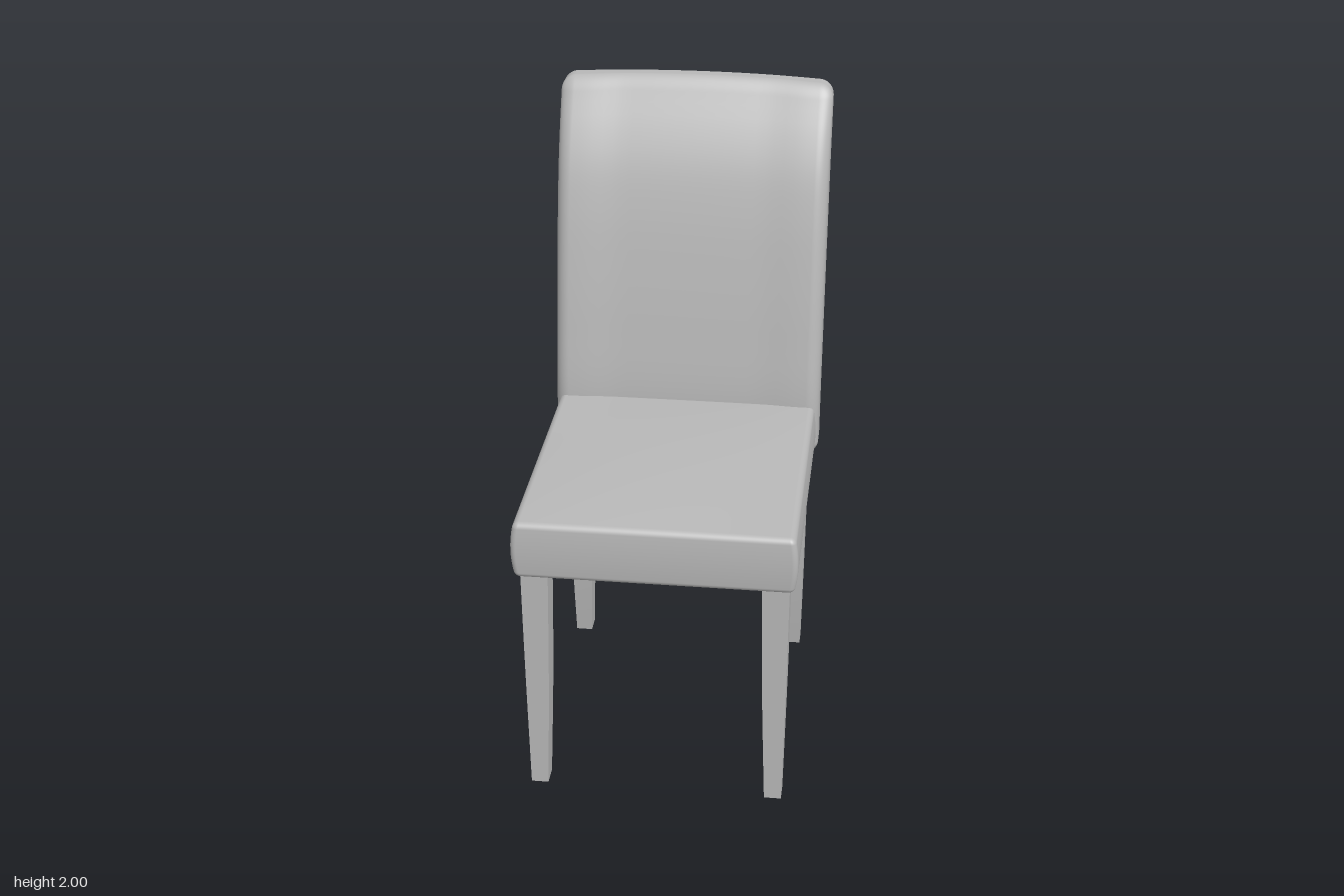
import * as THREE from 'three';
import { mergeVertices } from 'three/addons/utils/BufferGeometryUtils.js';

// Smooth curve through [position, value] pairs
function curve(points) {
  const c = new THREE.CubicInterpolant(points.map(p => p[0]), points.map(p => p[1]), 1);
  return t => c.evaluate(t)[0];
}

// Box with rounded edges and dense faces, bent by a rule
function cushion(size, radius, segments, bend) {
  const corner = 5;
  const geo = new THREE.BoxGeometry(1, 1, 1, ...segments.map(n => n + 2 * corner));
  const pos = geo.attributes.position;
  const p = new THREE.Vector3(), inner = new THREE.Vector3();
  for (let i = 0; i < pos.count; i++) {
    p.fromBufferAttribute(pos, i);
    // Pack the outer grid lines into the rounded edges
    ['x', 'y', 'z'].forEach((axis, k) => {
      const n = segments[k], flat = size[k] / 2 - radius;
      const step = p[axis] * (n + 2 * corner), a = Math.abs(step);
      const v = a <= n / 2 ? a / (n / 2) * flat
        : flat + radius * Math.tan((a - n / 2) / corner * Math.PI / 4);
      p[axis] = Math.sign(step) * v;
      inner[axis] = Math.sign(step) * Math.min(v, flat);
    });
    p.sub(inner).setLength(radius).add(inner);
    bend(p);
    pos.setXYZ(i, p.x, p.y, p.z);
  }
  geo.deleteAttribute('normal');
  geo.deleteAttribute('uv');
  const smooth = mergeVertices(geo, 1e-5);
  smooth.computeVertexNormals();
  return smooth;
}

// Square leg whose four sides follow curves of height
function leg(side, zFront, zBack) {
  const height = 0.79;
  const outer = curve([[0, 0.4], [0.4, 0.406], [0.79, 0.41]]);
  const inner = curve([[0, 0.346], [0.4, 0.333], [0.79, 0.325]]);
  const geo = new THREE.BoxGeometry(1, 1, 1, 1, 10, 1);
  const pos = geo.attributes.position;
  for (let i = 0; i < pos.count; i++) {
    const y = (pos.getY(i) + 0.5) * height;
    const x = side * (outer(y) + inner(y)) / 2 + pos.getX(i) * (outer(y) - inner(y));
    const z = THREE.MathUtils.lerp(zBack(y), zFront(y), pos.getZ(i) + 0.5);
    pos.setXYZ(i, x, y, z);
  }
  geo.computeVertexNormals();
  return geo;
}

export function createModel() {
  const chair = new THREE.Group();
  chair.name = 'diningChair';
  const grey = new THREE.MeshStandardMaterial({ color: 0xb8b8b8 });
  grey.name = 'grey';
  const add = (name, geo) => {
    const mesh = new THREE.Mesh(geo, grey);
    mesh.name = name;
    chair.add(mesh);
  };

  // Seat cushion: crowned top, gently bulging sides
  add('seat', cushion([0.868, 0.188, 0.905], 0.018, [16, 8, 16], p => {
    const u = p.x / 0.434, v = p.y / 0.094, w = p.z / 0.4525;
    const crown = 0.018 * (1 - u * u) * (1 - w * w) * Math.max(0, v);
    p.x *= 1 - 0.025 * v * v;
    p.z -= 0.006 * v * v * Math.max(0, w);
    p.y += 0.87 + crown;
    p.z += 0.1625;
  }));

  // Backrest: leaning, curved, thinner towards the top
  const front = curve([[0.78, -0.272], [0.97, -0.268], [1.2, -0.297], [1.4, -0.33],
    [1.6, -0.37], [1.75, -0.412], [1.86, -0.46], [1.95, -0.51], [2, -0.535]]);
  const back = curve([[0.78, -0.408], [0.95, -0.419], [1.2, -0.457], [1.6, -0.535], [1.9, -0.601], [2, -0.622]]);
  add('backrest', cushion([0.884, 1.22, 0.16], 0.045, [24, 32, 6], p => {
    const u = p.x / 0.442, t = p.z / 0.16 + 0.5;
    const y = p.y + 1.39;
    // Middle of the front face sits slightly behind the side bolsters
    const recess = 0.009 * (1 - THREE.MathUtils.smoothstep(Math.abs(u), 0.5, 0.85));
    p.z = THREE.MathUtils.lerp(back(y), front(y) - recess, t);
    // Top edge drops a little towards the corners
    p.y = y - 0.014 * u * u * Math.max(0, (y - 1.4) / 0.6);
  }));

  // Legs: straight tapered front pair, rear pair sweeping backwards
  const frontLeg = [
    curve([[0, 0.578], [0.4, 0.582], [0.79, 0.585]]),
    curve([[0, 0.512], [0.2, 0.504], [0.4, 0.498], [0.79, 0.497]])
  ];
  const rearLeg = [
    curve([[0, -0.33], [0.2, -0.308], [0.4, -0.294], [0.6, -0.289], [0.79, -0.292]]),
    curve([[0, -0.394], [0.2, -0.387], [0.4, -0.38], [0.6, -0.376], [0.79, -0.376]])
  ];
  for (const [side, label] of [[1, 'Left'], [-1, 'Right']]) {
    add('front' + label + 'Leg', leg(side, ...frontLeg));
    add('rear' + label + 'Leg', leg(side, ...rearLeg));
  }
  return chair;
}
